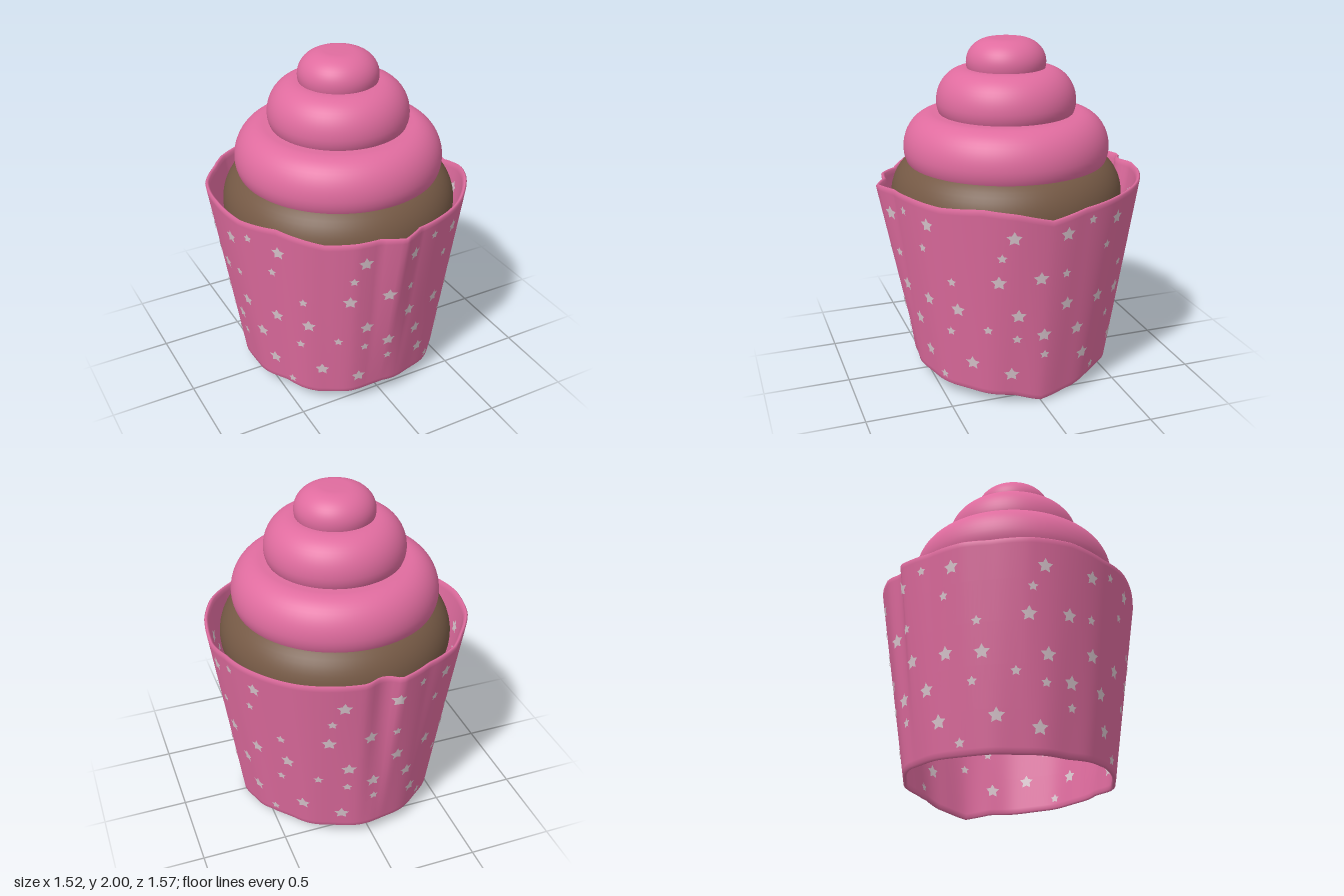
import * as THREE from 'three';

const DEG = Math.PI / 180;
const THICK = 0.022;

// Closed linear curve through [degrees, value] pairs
function around(table) {
  return (deg) => {
    const a = ((deg % 360) + 360) % 360;
    for (let i = 0; i < table.length; i++) {
      const [a0, v0] = table[i];
      const [a1, v1] = i + 1 < table.length ? table[i + 1] : [360, table[0][1]];
      if (a <= a1) return v0 + ((v1 - v0) * (a - a0)) / (a1 - a0);
    }
    return table[0][1];
  };
}

// Paper case outline: 0 degrees is the front, 90 is the model's left
const topRadius = around([
  [0, 0.785], [10, 0.73], [24, 0.735], [42, 0.743], [61, 0.757], [75, 0.767], [90, 0.76],
  [105, 0.757], [127, 0.778], [145, 0.79], [162, 0.79], [173, 0.786], [179, 0.745],
  [183, 0.75], [187, 0.796], [203, 0.762], [220, 0.78], [231, 0.768], [247, 0.78],
  [266, 0.762], [284, 0.742], [304, 0.721], [326, 0.721], [340, 0.743], [350, 0.73],
]);
const topHeight = around([
  [0, 1.21], [24, 1.21], [42, 1.2], [61, 1.22], [75, 1.2], [90, 1.15], [106, 1.19], [127, 1.21],
  [162, 1.22], [180, 1.22], [231, 1.21], [266, 1.23], [284, 1.21], [304, 1.23], [326, 1.18], [340, 1.2],
]);
const baseRadius = around([
  [0, 0.56], [45, 0.59], [90, 0.6], [135, 0.6], [180, 0.63], [225, 0.6], [270, 0.585], [315, 0.575],
]);
const baseHeight = around([
  [0, 0.08], [25, 0.07], [45, 0.06], [60, 0.05], [75, 0.04], [90, 0.0], [110, 0.03], [120, 0.06],
  [150, 0.06], [180, 0.07], [225, 0.06], [270, 0.06], [300, 0.08], [320, 0.05], [340, 0.06],
]);

// Point on the case wall; t runs from base to rim, inset moves inwards
function wallPoint(deg, t, inset = 0) {
  const ripple = 0.005 * Math.sin(13 * deg * DEG) * (1 - t);
  const r = THREE.MathUtils.lerp(baseRadius(deg), topRadius(deg), t) + ripple - inset;
  const y = THREE.MathUtils.lerp(baseHeight(deg), topHeight(deg), t);
  return [r * Math.sin(deg * DEG), y, r * Math.cos(deg * DEG)];
}

// Open tapered tube with a rounded rim
function caseGeometry() {
  const columns = 180;
  const ts = [0.008, 0.03, 0.2, 0.4, 0.6, 0.8, 0.97, 0.992];
  const section = [
    ...ts.map((t) => [t, 0]),
    [1, THICK / 2],
    ...[...ts].reverse().map((t) => [t, THICK]),
    [0, THICK / 2],
  ];
  const n = section.length;
  const positions = [];
  const index = [];
  for (let j = 0; j < columns; j++) {
    for (let i = 0; i < n; i++) {
      positions.push(...wallPoint((j * 360) / columns, ...section[i]));
      const j2 = (j + 1) % columns;
      const i2 = (i + 1) % n;
      const a = j * n + i, b = j2 * n + i, c = j2 * n + i2, d = j * n + i2;
      index.push(a, b, c, a, c, d);
    }
  }
  return finish(positions, index);
}

function finish(positions, index) {
  const g = new THREE.BufferGeometry();
  g.setAttribute('position', new THREE.Float32BufferAttribute(positions, 3));
  g.setIndex(index);
  g.computeVertexNormals();
  return g;
}

// Star pattern for a quarter of the case: degrees, height, radius
const BIG = 0.044, SMALL = 0.029;
const starPattern = [
  [-16, 1.06, BIG], [7, 1.06, BIG], [34.5, 1.08, BIG], [19, 1.115, SMALL],
  [-21, 0.94, SMALL], [30, 0.93, SMALL],
  [-22.5, 0.79, BIG], [-4, 0.81, BIG], [8, 0.82, SMALL], [45, 0.76, SMALL],
  [-43, 0.59, BIG], [-13.5, 0.58, BIG], [10, 0.625, BIG], [29.5, 0.61, BIG],
  [-28, 0.485, SMALL], [-14, 0.43, SMALL], [-1, 0.45, BIG], [18, 0.44, BIG], [42, 0.44, SMALL],
  [0, 0.32, SMALL], [-37, 0.255, BIG], [-16.5, 0.195, BIG], [24, 0.255, BIG], [34.5, 0.13, SMALL],
];

// All stars as flat faces wrapped on one side of the wall
function starsGeometry(inset) {
  const positions = [];
  const index = [];
  const put = (deg, y) => {
    const t = (y - baseHeight(deg)) / (topHeight(deg) - baseHeight(deg));
    positions.push(...wallPoint(deg, t, inset));
  };
  for (let quarter = 0; quarter < 4; quarter++) {
    for (const [deg0, y0, size] of starPattern) {
      const deg = deg0 + quarter * 90;
      const first = positions.length / 3;
      const radius = 0.57 + 0.155 * y0;
      put(deg, y0);
      for (let k = 0; k < 10; k++) {
        const r = k % 2 ? size * 0.52 : size;
        const a = (90 + k * 36) * DEG;
        put(deg + (r * Math.cos(a)) / radius / DEG, y0 + r * Math.sin(a));
        index.push(first, first + 1 + k, first + 1 + ((k + 1) % 10));
      }
    }
  }
  return finish(positions, index);
}

// Flattened round layer with elliptical edges
function bunGeometry(radius, corner, bottom, middle, top) {
  const points = [new THREE.Vector2(0, bottom)];
  for (let i = 0; i <= 24; i++) {
    const a = (-90 + i * 7.5) * DEG;
    const h = a < 0 ? middle - bottom : top - middle;
    points.push(new THREE.Vector2(radius - corner + corner * Math.cos(a), middle + h * Math.sin(a)));
  }
  points.push(new THREE.Vector2(0, top));
  return new THREE.LatheGeometry(points, 72);
}

export function createModel() {
  const model = new THREE.Group();
  model.name = 'cupcake';

  const pink = new THREE.MeshStandardMaterial({ color: 0xe06c9f });
  pink.name = 'pink';
  const brown = new THREE.MeshStandardMaterial({ color: 0x755945 });
  brown.name = 'cakeBrown';
  const pale = new THREE.MeshStandardMaterial({ color: 0xdcc8d0, side: THREE.DoubleSide });
  pale.name = 'paleStar';

  const add = (name, geometry, material) => {
    const mesh = new THREE.Mesh(geometry, material);
    mesh.name = name;
    model.add(mesh);
  };

  // Paper case with stars printed on both sides
  add('paperCase', caseGeometry(), pink);
  add('outerStars', starsGeometry(-0.005), pale);
  add('innerStars', starsGeometry(THICK + 0.005), pale);

  // Cake and three frosting layers
  add('cake', bunGeometry(0.68, 0.22, 0.88, 1.1, 1.34), brown);
  add('lowerFrosting', bunGeometry(0.6, 0.17, 1.2, 1.375, 1.577), pink);
  add('middleFrosting', bunGeometry(0.405, 0.17, 1.48, 1.64, 1.832), pink);
  add('topFrosting', bunGeometry(0.23, 0.15, 1.72, 1.865, 2.0), pink);

  return model;
}
